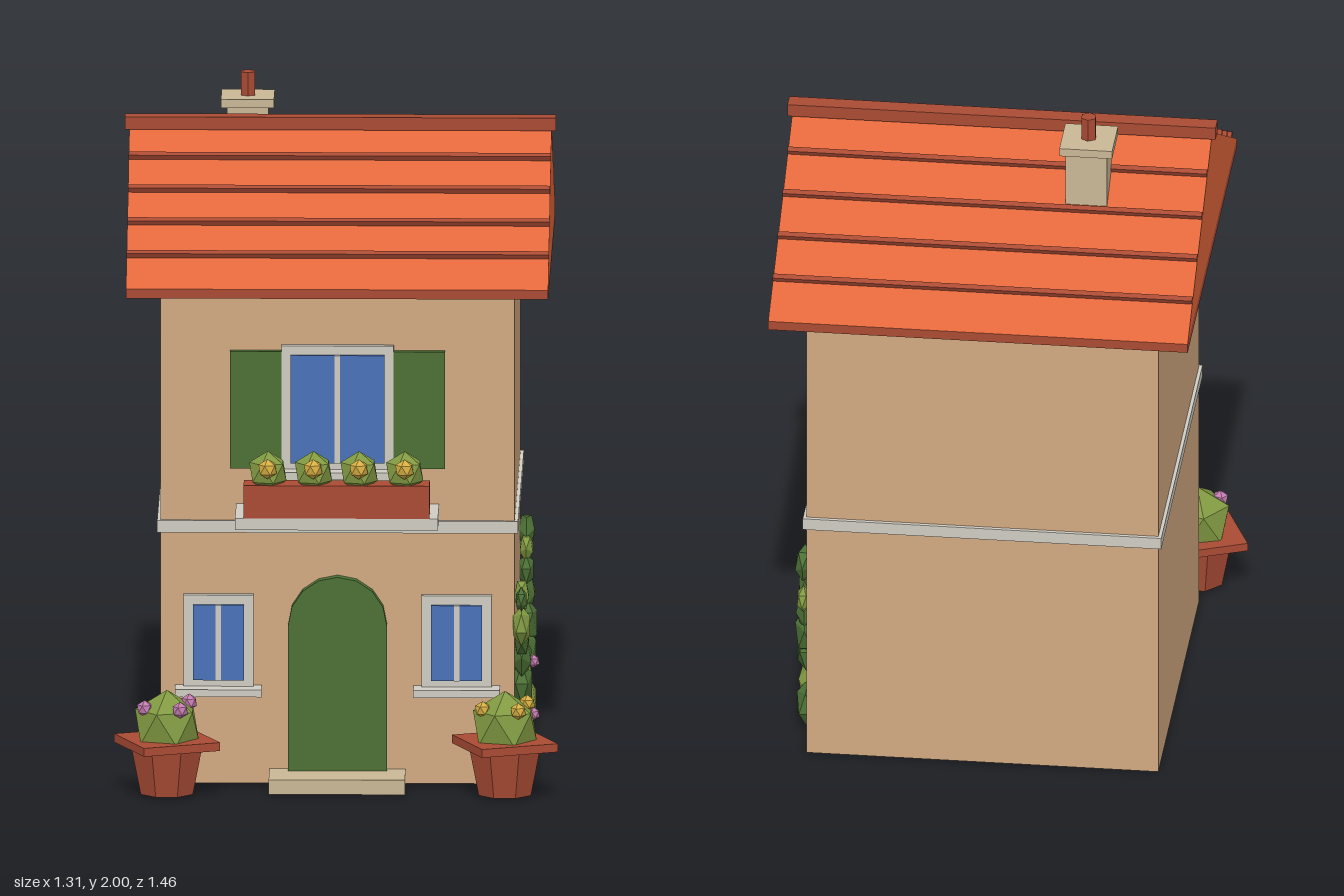
import * as THREE from 'three';

const mat = (name, color, flat = false) => {
  const m = new THREE.MeshStandardMaterial({ color, flatShading: flat });
  m.name = name;
  return m;
};

export function createModel() {
  const house = new THREE.Group();
  house.name = 'house';

  const wall = mat('plaster', 0xd2a981);
  const roofTile = mat('roofTile', 0xe2673b);
  const terracotta = mat('terracotta', 0xaa4b34, true);
  const trim = mat('paleTrim', 0xcfccc2);
  const stone = mat('stone', 0xcab896);
  const glass = mat('glass', 0x4a72b8);
  const green = mat('darkGreen', 0x4c7035, true);
  const leaf = mat('leafGreen', 0x819a42, true);
  const yellow = mat('yellowPetal', 0xd6ae42, true);
  const pink = mat('pinkPetal', 0xc47cb0, true);

  const add = (name, geo, material, parent = house) => {
    const m = new THREE.Mesh(geo, material);
    m.name = name;
    parent.add(m);
    return m;
  };
  // Box given by its limits on each axis
  const box = (name, material, [x0, x1], [y0, y1], [z0, z1], parent = house) => {
    const m = add(name, new THREE.BoxGeometry(x1 - x0, y1 - y0, z1 - z0), material, parent);
    m.position.set((x0 + x1) / 2, (y0 + y1) / 2, (z0 + z1) / 2);
    return m;
  };
  // Low-poly ball with a vertex pointing up
  const ball = (name, material, r, x, y, z, parent = house) => {
    const geo = new THREE.IcosahedronGeometry(r, 0).rotateZ(0.5536);
    const m = add(name, geo, material, parent);
    m.position.set(x, y, z);
    return m;
  };

  // Walls and the band between the floors
  const front = 0.43, back = -0.615;
  box('walls', wall, [-0.52, 0.52], [0.008, 1.49], [back, front]);
  box('floorBand', trim, [-0.53, 0.53], [0.76, 0.796], [back - 0.012, front + 0.012]);

  // Gable roof on a thin eaves slab
  const ridgeZ = -0.097, halfDepth = 0.634, eaveY = 1.508, ridgeY = 1.872;
  box('eaves', terracotta, [-0.62, 0.62], [1.48, eaveY], [ridgeZ - halfDepth, ridgeZ + halfDepth]);
  const gable = new THREE.Shape([
    new THREE.Vector2(-halfDepth, eaveY),
    new THREE.Vector2(halfDepth, eaveY),
    new THREE.Vector2(0, ridgeY),
  ]);
  const roofGeo = new THREE.ExtrudeGeometry(gable, { depth: 1.24, bevelEnabled: false });
  roofGeo.translate(0, 0, -0.62).rotateY(Math.PI / 2).translate(0, 0, ridgeZ);
  add('roof', roofGeo, roofTile);
  box('ridgeCap', terracotta, [-0.633, 0.633], [1.864, 1.902], [ridgeZ - 0.026, ridgeZ + 0.026]);

  // Tile battens across both slopes
  const slope = Math.atan2(ridgeY - eaveY, halfDepth);
  for (const side of [-1, 1]) {
    for (let i = 1; i < 5; i++) {
      const t = i / 5;
      const bar = add('tileBatten', new THREE.BoxGeometry(1.24, 0.018, 0.016), terracotta);
      bar.position.set(0, eaveY + (ridgeY - eaveY) * t + 0.007, ridgeZ + side * (halfDepth * (1 - t) + 0.003));
      bar.rotation.x = side * slope;
    }
  }

  // Chimney
  const cx = -0.275, cz = -0.272;
  box('chimney', stone, [cx - 0.061, cx + 0.061], [1.66, 1.91], [cz - 0.061, cz + 0.061]);
  box('chimneyCap', stone, [cx - 0.078, cx + 0.078], [1.905, 1.93], [cz - 0.078, cz + 0.078]);
  const flue = add('chimneyPot', new THREE.CylinderGeometry(0.024, 0.024, 0.072, 6), terracotta);
  flue.position.set(cx, 1.964, cz);

  // Framed window with two panes and a sill
  const makeWindow = (x, y0, y1, halfW, border, sillHalf) => {
    const g = new THREE.Group();
    g.name = 'window';
    house.add(g);
    box('frame', trim, [x - halfW, x + halfW], [y0, y1], [front - 0.01, 0.452], g);
    const w = halfW - border;
    for (const s of [-1, 1]) {
      const a = x + s * 0.008, b = x + s * w;
      box('pane', glass, [Math.min(a, b), Math.max(a, b)], [y0 + border * 0.7, y1 - border], [0.452, 0.461], g);
    }
    box('mullion', trim, [x - 0.008, x + 0.008], [y0 + border * 0.7, y1 - border], [0.452, 0.464], g);
    box('sill', trim, [x - sillHalf, x + sillHalf], [y0 - 0.022, y0], [front - 0.01, 0.505], g);
  };
  makeWindow(0, 0.953, 1.322, 0.165, 0.027, 0.19);
  for (const s of [-1, 1]) {
    makeWindow(s * 0.35, 0.302, 0.575, 0.103, 0.028, 0.127);
    // Shutters beside the upper window
    box('shutter', green, s < 0 ? [-0.316, -0.165] : [0.165, 0.316], [0.955, 1.305], [front - 0.01, 0.453]);
  }

  // Arched door and doorstep
  const door = new THREE.Shape();
  door.moveTo(-0.145, 0.012);
  door.lineTo(0.145, 0.012);
  for (let i = 0; i <= 8; i++) {
    const a = (Math.PI * i) / 8;
    door.lineTo(0.145 * Math.cos(a), 0.487 + 0.145 * Math.sin(a));
  }
  const doorGeo = new THREE.ExtrudeGeometry(door, { depth: 0.045, bevelEnabled: false });
  add('door', doorGeo.translate(0, 0, front - 0.01), green);
  box('doorstep', stone, [-0.2, 0.2], [0.008, 0.052], [front - 0.01, 0.6]);

  // Ledge and flower box
  box('ledge', trim, [-0.298, 0.298], [0.81, 0.845], [front - 0.01, 0.652]);
  box('flowerBox', terracotta, [-0.273, 0.273], [0.845, 0.943], [0.568, 0.652]);
  for (let i = 0; i < 4; i++) {
    const x = -0.202 + i * 0.134;
    ball('boxPlant', leaf, 0.061, x, 0.978, 0.61);
    ball('boxFlower', yellow, 0.03, x, 0.995, 0.663);
  }

  // Potted plants with turned square rims
  for (const [x, petal] of [[-0.499, pink], [0.494, yellow]]) {
    const pot = new THREE.Group();
    pot.name = 'pottedPlant';
    pot.position.set(x, 0, 0.573);
    house.add(pot);
    const body = add('pot', new THREE.CylinderGeometry(0.112, 0.083, 0.14, 8), terracotta, pot);
    body.position.y = 0.078;
    body.rotation.y = Math.PI / 8;
    const rim = add('potRim', new THREE.BoxGeometry(0.24, 0.025, 0.24), terracotta, pot);
    rim.position.y = 0.158;
    rim.rotation.y = Math.PI / 8;
    ball('bush', leaf, 0.105, 0, 0.21, 0, pot);
    for (const [fx, fy, fz] of [[0.065, 0.275, -0.02], [-0.065, 0.265, 0.03], [0.04, 0.268, 0.07]]) {
      ball('flower', petal, 0.025, fx, fy, fz, pot);
    }
  }

  // Climbing plants on the left wall: z, y, radius, leaf tone
  const climbers = [
    [0.39, 0.565, 0.05, leaf], [0.45, 0.565, 0.036, green], [0.425, 0.48, 0.06, leaf],
    [0.385, 0.43, 0.05, green], [0.35, 0.375, 0.064, green], [0.325, 0.285, 0.07, green],
    [0.235, 0.275, 0.052, leaf], [0.31, 0.17, 0.08, green], [0.285, 0.06, 0.06, leaf],
    [0.195, 0.105, 0.06, leaf],
    [-0.5, 0.58, 0.056, green], [-0.455, 0.54, 0.045, leaf], [-0.45, 0.475, 0.05, green],
    [-0.52, 0.47, 0.042, leaf], [-0.46, 0.405, 0.06, green], [-0.43, 0.32, 0.075, green],
    [-0.4, 0.24, 0.07, green], [-0.33, 0.17, 0.048, leaf], [-0.355, 0.11, 0.07, leaf],
    [-0.42, 0.07, 0.07, green],
  ];
  climbers.forEach(([z, y, r, tone], i) => {
    const g = new THREE.IcosahedronGeometry(r, 0).rotateX(i * 0.9).scale(0.5, 1, 1);
    add('climberLeaves', g, tone).position.set(0.54, y, z);
  });
  for (const [z, y] of [[0.35, 0.36], [0.315, 0.195]]) ball('climberFlower', pink, 0.02, 0.574, y, z);

  return house;
}
